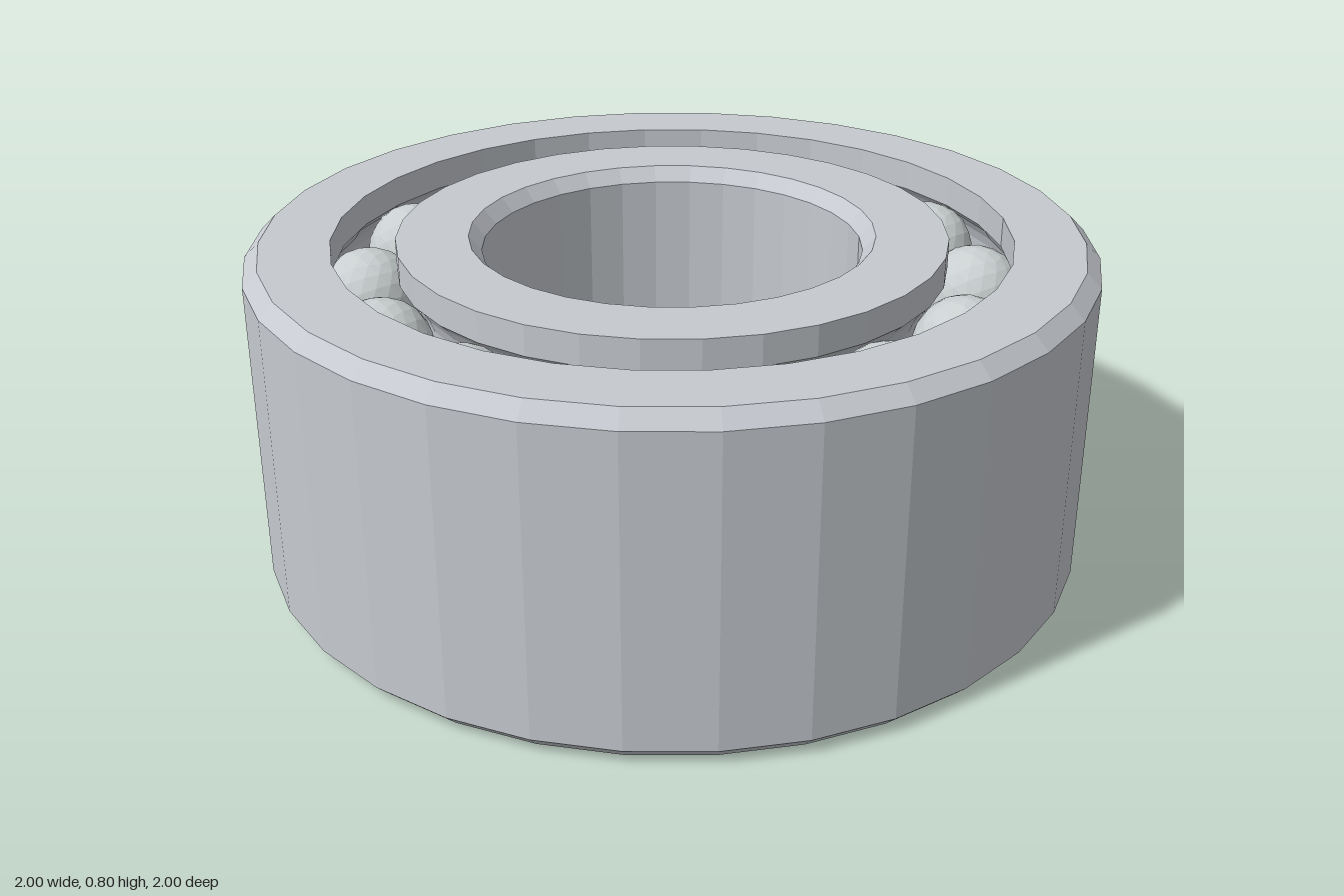
import * as THREE from 'three';

const HEIGHT = 0.8, ROWS = [0.17, 0.63];
const PITCH = 0.725, BALL = 0.12, GROOVE = 0.123, COUNT = 14;

// Points of the ball grooves along a wall at the given radius, bottom to top
function raceway(wall) {
  const side = Math.sign(wall - PITCH);
  const half = Math.acos(Math.abs(wall - PITCH) / GROOVE);
  const points = [];
  for (const y of ROWS) {
    for (let i = 0; i <= 8; i++) {
      const a = -half + (2 * half * i) / 8;
      points.push([PITCH + side * GROOVE * Math.cos(a), y + GROOVE * Math.sin(a)]);
    }
  }
  return points;
}

// Closed profile, counter-clockwise, spun into a faceted ring
function ring(name, profile, material) {
  const points = [...profile, profile[0]].map(([x, y]) => new THREE.Vector2(x, y));
  const mesh = new THREE.Mesh(new THREE.LatheGeometry(points, 32).toNonIndexed(), material);
  mesh.geometry.computeVertexNormals();
  mesh.name = name;
  return mesh;
}

export function createModel() {
  const model = new THREE.Group();
  model.name = 'ballBearing';
  const steel = new THREE.MeshStandardMaterial({ color: 0xc6cad0 });
  steel.name = 'steel';
  const ballSteel = new THREE.MeshStandardMaterial({ color: 0xc9cfd0 });
  ballSteel.name = 'ball steel';

  // Outer ring: chamfered outside, grooved inside
  model.add(ring('outerRing', [
    [0.8, 0], [0.965, 0], [1, 0.035], [1, HEIGHT - 0.035], [0.965, HEIGHT], [0.8, HEIGHT],
    ...raceway(0.8).reverse(),
  ], steel));

  // Inner ring: chamfered bore, grooved outside
  model.add(ring('innerRing', [
    [0.48, 0], [0.65, 0], ...raceway(0.65), [0.65, HEIGHT], [0.48, HEIGHT],
    [0.45, HEIGHT - 0.035], [0.45, 0.035],
  ], steel));

  // Two rows of balls between the rings
  const ballGeometry = new THREE.IcosahedronGeometry(BALL, 3);
  ballGeometry.computeVertexNormals();
  ROWS.forEach((y, row) => {
    const balls = new THREE.Group();
    balls.name = row ? 'upperBalls' : 'lowerBalls';
    for (let i = 0; i < COUNT; i++) {
      const a = (i / COUNT) * Math.PI * 2;
      const ball = new THREE.Mesh(ballGeometry, ballSteel);
      ball.name = 'ball';
      ball.position.set(PITCH * Math.cos(a), y, PITCH * Math.sin(a));
      balls.add(ball);
    }
    model.add(balls);
  });
  return model;
}
